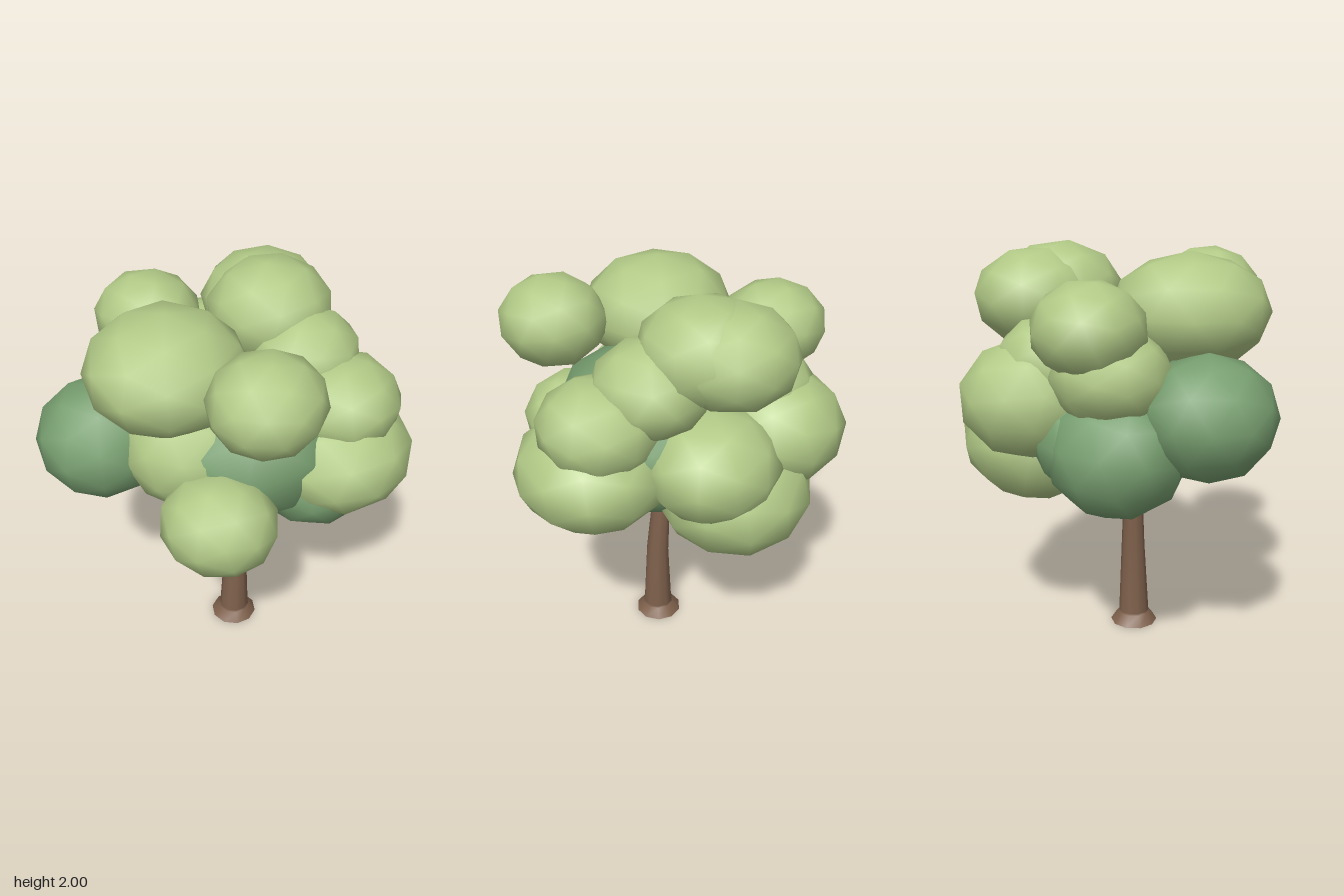
import * as THREE from 'three';
import { mergeVertices } from 'three/addons/utils/BufferGeometryUtils.js';

const mat = (name, color) => {
  const m = new THREE.MeshStandardMaterial({ color });
  m.name = name;
  return m;
};

// Foliage clumps: centre x, y, z, then radii x, y, z
const LIGHT_CLUMPS = [
  [-0.20, 1.69, 0.31, 0.375, 0.275, 0.38], // upper front
  [0.34, 1.73, 0.42, 0.26, 0.22, 0.27],
  [0.02, 1.75, -0.31, 0.31, 0.25, 0.31],   // crown
  [-0.06, 1.74, -0.41, 0.31, 0.24, 0.31],
  [-0.56, 1.66, -0.14, 0.27, 0.22, 0.26],  // right shoulder
  [-0.50, 1.45, -0.05, 0.30, 0.23, 0.28],
  [-0.32, 1.47, -0.32, 0.26, 0.23, 0.27],
  [-0.09, 1.05, -0.42, 0.38, 0.31, 0.38],  // back
  [-0.34, 1.31, -0.43, 0.33, 0.28, 0.33],
  [0.07, 1.26, -0.44, 0.33, 0.27, 0.33],
  [0.49, 1.21, -0.09, 0.36, 0.27, 0.38],   // left side
  [0.47, 1.45, -0.14, 0.29, 0.23, 0.29],
  [0.24, 1.60, -0.22, 0.28, 0.23, 0.28],
  [-0.11, 1.30, 0.28, 0.33, 0.30, 0.33],   // front
  [0.17, 1.11, 0.54, 0.28, 0.24, 0.26],
  [0.11, 1.08, 0.40, 0.28, 0.22, 0.27],
];
const DARK_CLUMPS = [
  [-0.53, 1.27, 0.38, 0.32, 0.29, 0.32],
  [-0.52, 1.10, -0.02, 0.33, 0.30, 0.33],
  [-0.45, 1.13, -0.13, 0.28, 0.25, 0.28],
  [0.40, 1.11, -0.01, 0.30, 0.26, 0.30],
  [0.02, 1.26, -0.01, 0.54, 0.42, 0.56],   // core
];

// Trunk rings: height, centre x, centre z, radius
const TRUNK_RINGS = [
  [0, 0, 0.05, 0.122],
  [0.05, 0.003, 0.05, 0.083],
  [0.06, 0.003, 0.05, 0.078],
  [0.43, 0.008, 0.045, 0.06],
  [0.83, -0.025, 0.045, 0.045],
  [0.85, -0.025, 0.045, 0.053],
  [1.05, -0.03, 0.04, 0.05],
];

// Bent, tapering trunk lofted from an open cylinder, welded at its seam
function trunkGeometry() {
  const sides = 10, last = TRUNK_RINGS.length - 1;
  const geo = new THREE.CylinderGeometry(1, 1, 1, sides, last, true);
  const pos = geo.attributes.position;
  for (let i = 0; i < pos.count; i++) {
    const [y, cx, cz, r] = TRUNK_RINGS[last - Math.floor(i / (sides + 1))];
    pos.setXYZ(i, cx + pos.getX(i) * r, y, cz + pos.getZ(i) * r);
  }
  geo.deleteAttribute('uv');
  geo.deleteAttribute('normal');
  const welded = mergeVertices(geo);
  welded.computeVertexNormals();
  return welded;
}

export function createModel() {
  const tree = new THREE.Group();
  tree.name = 'tree';
  const bark = mat('bark', 0x7f614c);
  const lightLeaf = mat('lightLeaf', 0xb2ca87);
  const darkLeaf = mat('darkLeaf', 0x789f70);

  const trunk = new THREE.Mesh(trunkGeometry(), bark);
  trunk.name = 'trunk';
  tree.add(trunk);

  // Cap under the root flare
  const base = new THREE.Mesh(new THREE.CircleGeometry(0.122, 10, Math.PI / 2), bark);
  base.name = 'trunkBase';
  base.rotation.x = Math.PI / 2;
  base.position.z = 0.05;
  tree.add(base);

  // Faceted outline, smooth shading, each clump turned differently
  const addClumps = (name, list, material) => {
    const group = new THREE.Group();
    group.name = name;
    list.forEach(([x, y, z, rx, ry, rz], i) => {
      const geo = new THREE.IcosahedronGeometry(1, 1).rotateY(i * 1.3).rotateX(i * 0.7);
      const clump = new THREE.Mesh(geo, material);
      clump.name = `${name}Clump${i + 1}`;
      clump.position.set(x, y, z);
      clump.scale.set(rx, ry, rz);
      group.add(clump);
    });
    tree.add(group);
  };
  addClumps('lightFoliage', LIGHT_CLUMPS, lightLeaf);
  addClumps('darkFoliage', DARK_CLUMPS, darkLeaf);
  return tree;
}
